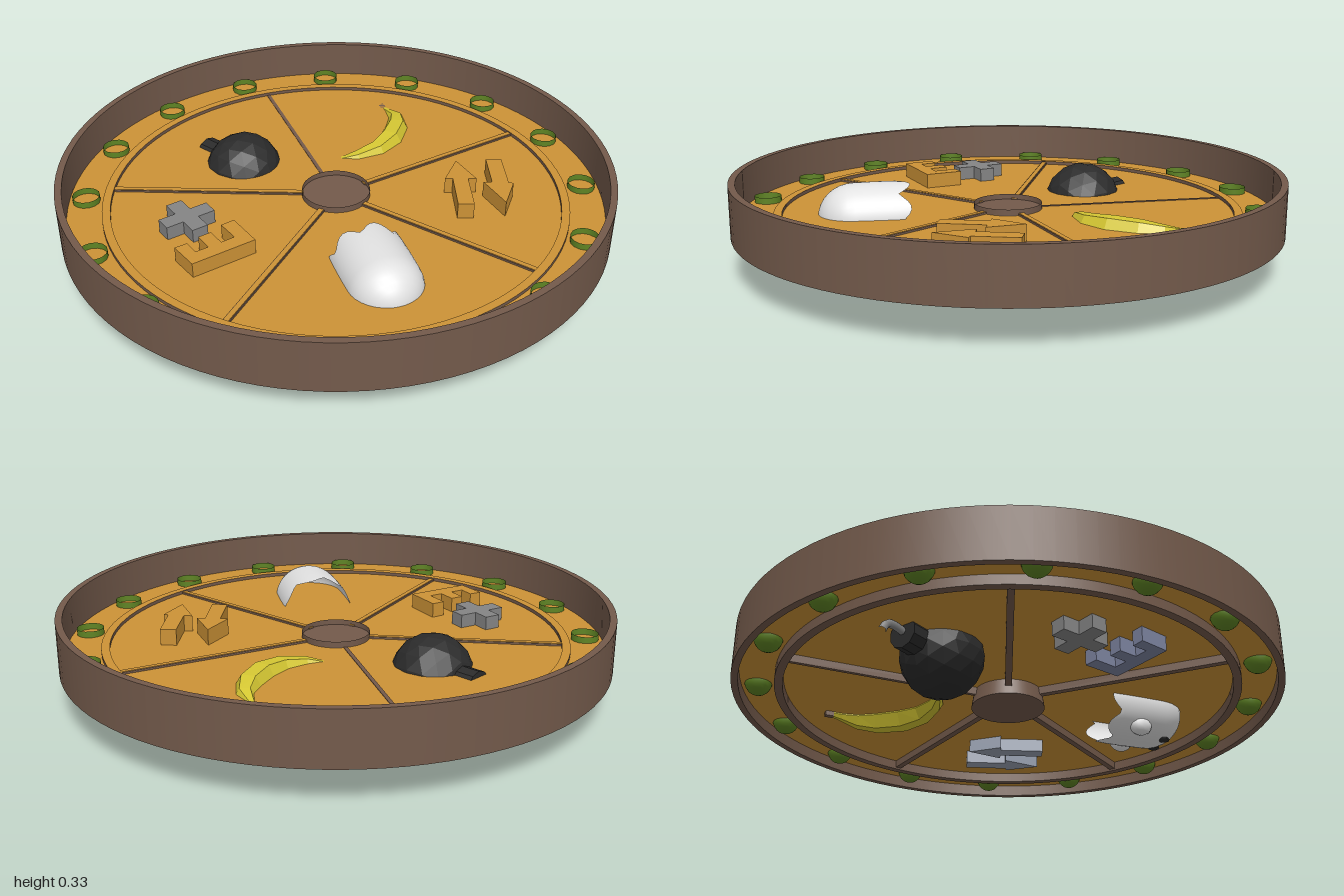
import * as THREE from 'three';

const mat = (name, color, extra = {}) => {
  const m = new THREE.MeshStandardMaterial({ color, ...extra });
  m.name = name;
  return m;
};

export function createModel() {
  const root = new THREE.Group();
  root.name = 'prizeWheel';
  const D = { side: THREE.DoubleSide };
  const flat = { flatShading: true };
  const orange = mat('orange wood', 0xcc9236);
  const brown = mat('brown wood', 0x735a4b, D);
  const yellow = mat('banana yellow', 0xd6c833, { ...flat, ...D });
  const black = mat('bomb black', 0x2b2b2b, flat);
  const green = mat('bulb green', 0x5f8424, D);
  const white = mat('ghost white', 0xe2e2e2, D);
  const grey = mat('grey', 0x858585);
  const slate = mat('slate blue', 0x7d84a0);
  const steel = mat('light steel', 0x98a0b0);

  const DISC = 0.19; // height of the board's upper face
  const LIP = 0.203; // trim pokes slightly through the board

  const add = (name, geo, material, x = 0, y = 0, z = 0, parent = root) => {
    const m = new THREE.Mesh(geo, material);
    m.name = name;
    m.position.set(x, y, z);
    parent.add(m);
    return m;
  };
  // Prism from plan points [x, z] between two heights
  const prism = (name, pts, y0, y1, material) => {
    const shape = new THREE.Shape(pts.map(([x, z]) => new THREE.Vector2(x, -z)));
    const g = new THREE.ExtrudeGeometry(shape, { depth: y1 - y0, bevelEnabled: false });
    g.rotateX(-Math.PI / 2);
    return add(name, g, material, 0, y0, 0);
  };
  // Rectangular ring around the wheel axis
  const ring = (name, r0, r1, y0, y1, material) => {
    const p = [[r0, y0], [r1, y0], [r1, y1], [r0, y1], [r0, y0]];
    const sides = [];
    for (let i = 0; i < 4; i++) {
      const pts = [p[i], p[i + 1]].map(([a, b]) => new THREE.Vector2(a, b));
      sides.push(add(name, new THREE.LatheGeometry(pts, 96), material));
    }
    return sides;
  };

  // Board, rim and inner ring
  add('board', new THREE.CylinderGeometry(0.98, 0.98, 0.006, 96), orange, 0, DISC - 0.003, 0);
  ring('rim', 0.975, 1, 0.14, 0.33, brown);
  ring('innerRing', 0.82, 0.85, 0.148, LIP, brown)[2].material = orange;

  // Hub: solid boss with a shallow lip on the back
  add('hub', new THREE.CylinderGeometry(0.125, 0.135, 0.068, 40), brown, 0, 0.159, 0);
  add('hubLip', new THREE.CylinderGeometry(0.125, 0.125, 0.02, 40, 1, true), brown, 0, 0.203, 0);

  // Dividers
  [-90, -11.7, 55.7, 135.5, 202.3].forEach((deg, i) => {
    const g = new THREE.Group();
    g.name = 'divider';
    g.rotation.y = -deg * Math.PI / 180;
    root.add(g);
    const top = i === 0 ? 0.192 : 0.197;
    const w = i === 0 ? 0.014 : 0.024;
    add('dividerBar', new THREE.BoxGeometry(0.71, top - 0.155, w), brown, 0.475, (top + 0.155) / 2, 0, g);
    if (i) add('dividerBack', new THREE.BoxGeometry(0.71, 0.002, 0.018), orange, 0.475, top + 0.001, 0, g);
  });

  // Bulbs: half balls below, an open collar above
  const dome = new THREE.SphereGeometry(0.05, 14, 6, 0, Math.PI * 2, Math.PI / 2, Math.PI / 2);
  const collar = new THREE.CylinderGeometry(0.05, 0.05, 0.024, 14, 1, true);
  for (let i = 0; i < 16; i++) {
    const a = (i * 22.5 - 5) * Math.PI / 180;
    const x = 0.912 * Math.cos(a), z = 0.912 * Math.sin(a);
    add('bulb', dome, green, x, DISC, z);
    add('bulbCollar', collar, green, x, DISC + 0.012, z);
  }

  // Bomb
  const bomb = new THREE.Group();
  bomb.name = 'bomb';
  bomb.position.set(-0.25, 0.147, -0.35);
  bomb.rotation.y = Math.PI / 6;
  root.add(bomb);
  add('bombBody', new THREE.IcosahedronGeometry(0.147, 2), black, 0, 0, 0, bomb);
  add('bombNeck', new THREE.CylinderGeometry(0.055, 0.055, 0.07, 10).rotateX(Math.PI / 2), black, 0, 0.01, -0.165, bomb);
  const fuse = new THREE.CatmullRomCurve3([[0, 0.015, -0.19], [0, 0.02, -0.24], [0, 0.012, -0.275], [0, -0.02, -0.295]]
    .map((p) => new THREE.Vector3(...p)));
  add('fuse', new THREE.TubeGeometry(fuse, 8, 0.014, 6), grey, 0, 0, 0, bomb);

  // Banana: six-sided sections [x, z, radius] swept along a bend
  const sections = [[0.105, -0.235, 0.012], [0.17, -0.224, 0.03], [0.26, -0.24, 0.044], [0.34, -0.295, 0.053],
    [0.405, -0.38, 0.05], [0.432, -0.455, 0.036], [0.425, -0.52, 0.018], [0.419, -0.555, 0.012]];
  const pos = [], idx = [], N = 6;
  sections.forEach(([x, z, r], i) => {
    const a = sections[Math.max(i - 1, 0)], b = sections[Math.min(i + 1, sections.length - 1)];
    const l = Math.hypot(b[0] - a[0], b[1] - a[1]);
    const nx = -(b[1] - a[1]) / l, nz = (b[0] - a[0]) / l;
    for (let k = 0; k < N; k++) {
      const t = k / N * Math.PI * 2;
      pos.push(x + nx * r * Math.cos(t), 0.178 + 1.05 * r * Math.sin(t), z + nz * r * Math.cos(t));
      if (i) {
        const p = (i - 1) * N + k, q = (i - 1) * N + (k + 1) % N;
        idx.push(p, q, p + N, q, q + N, p + N);
      }
    }
  });
  for (let k = 1; k < N - 1; k++) idx.push(0, k + 1, k);
  const bananaGeo = new THREE.BufferGeometry();
  bananaGeo.setAttribute('position', new THREE.Float32BufferAttribute(pos, 3));
  bananaGeo.setIndex(idx);
  bananaGeo.computeVertexNormals();
  add('banana', bananaGeo, yellow);
  add('bananaStem', new THREE.BoxGeometry(0.022, 0.024, 0.032), brown, 0.418, 0.178, -0.568);

  // Ghost: domed body lying along z with a scalloped hem
  const ghost = new THREE.Group();
  ghost.name = 'ghost';
  ghost.position.set(-0.037, 0.175, 0.56);
  ghost.rotation.y = -0.04;
  root.add(ghost);
  const profile = [[0.132, -0.2], [0.134, -0.15], [0.134, -0.08], [0.132, 0]];
  for (let i = 1; i <= 8; i++) {
    const t = i / 8 * Math.PI / 2;
    profile.push([Math.max(0.132 * Math.cos(t), 0.0001), 0.132 * Math.sin(t)]);
  }
  const bodyGeo = new THREE.LatheGeometry(profile.map(([r, y]) => new THREE.Vector2(r, y)), 48);
  const bp = bodyGeo.attributes.position;
  for (let i = 0; i < bp.count; i++) {
    if (bp.getY(i) > -0.19) continue;
    const a = Math.atan2(bp.getZ(i), bp.getX(i));
    bp.setY(i, -0.155 - 0.045 * Math.abs(Math.sin(a * 3.5)));
  }
  bodyGeo.rotateX(Math.PI / 2);
  bodyGeo.scale(1, 0.93, 1);
  bodyGeo.computeVertexNormals();
  add('ghostBody', bodyGeo, white, 0, 0, 0, ghost);
  for (const s of [-1, 1]) {
    const arm = add('ghostArm', new THREE.SphereGeometry(0.032, 12, 8), white, s * 0.085, -0.085, -0.07, ghost);
    arm.scale.set(1, 1.15, 1.4);
    const eye = add('ghostEye', new THREE.SphereGeometry(0.02, 12, 8), black, s * 0.042, -0.107, 0.048, ghost);
    eye.scale.set(1, 0.45, 1.2);
  }

  // Raised symbols: coloured face below the board, wood colour above
  const arrows = [
    [[0.47, 0.03], [0.487, 0.17], [0.458, 0.16], [0.405, 0.32], [0.35, 0.3], [0.405, 0.14], [0.378, 0.13]],
    [[0.515, 0.35], [0.5, 0.2], [0.53, 0.21], [0.58, 0.06], [0.635, 0.08], [0.585, 0.235], [0.6, 0.245]],
  ];
  const comb = [[-0.62, 0.31], [-0.385, 0.25], [-0.42, 0.11], [-0.47, 0.125], [-0.447, 0.21], [-0.497, 0.223],
    [-0.515, 0.155], [-0.562, 0.167], [-0.545, 0.235], [-0.593, 0.247], [-0.607, 0.19], [-0.653, 0.2]];
  for (const pts of arrows) {
    prism('arrow', pts, 0.134, DISC, steel);
    prism('arrowBack', pts, DISC, 0.25, orange);
  }
  prism('comb', comb, 0.13, DISC, slate);
  prism('combBack', comb, DISC, 0.245, orange);

  // Plus sign
  const w = 0.03, L = 0.095, c = Math.cos(-0.26), s = Math.sin(-0.26);
  const plus = [[w, L], [w, w], [L, w], [L, -w], [w, -w], [w, -L], [-w, -L], [-w, -w], [-L, -w], [-L, w], [-w, w], [-w, L]]
    .map(([x, z]) => [-0.565 + x * c - z * s, 0.017 + x * s + z * c]);
  prism('plus', plus, 0.134, 0.24, grey);

  return root;
}
